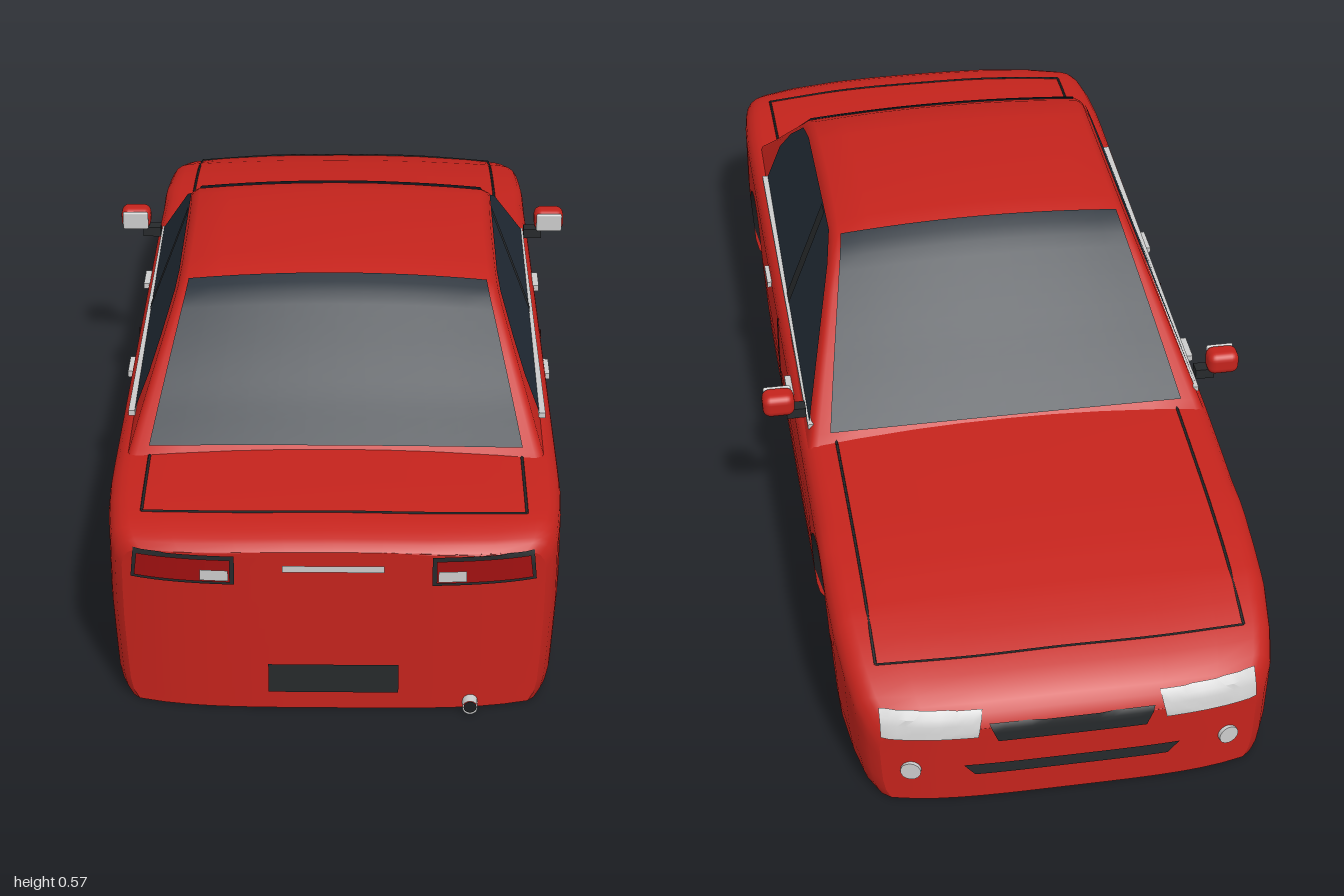
import * as THREE from 'three';
import { toCreasedNormals } from 'three/addons/utils/BufferGeometryUtils.js';
import { RoundedBoxGeometry } from 'three/addons/geometries/RoundedBoxGeometry.js';

const mat = (color) => new THREE.MeshStandardMaterial({ color, side: THREE.DoubleSide });
const RED = mat(0xc4231c), GLASS = mat(0x222c36), BLACK = mat(0x1c1e20), LINE = mat(0x3a1414);
const CHROME = mat(0xcccccc), LAMP = mat(0xa01010), TRIM = mat(0x26292b);

// Piecewise-linear lookup in [key, value] pairs
function lookup(keys, t) {
  if (t <= keys[0][0]) return keys[0][1];
  for (let i = 1; i < keys.length; i++) {
    const [a, va] = keys[i - 1], [b, vb] = keys[i];
    if (t <= b) return va + ((vb - va) * (t - a)) / (b - a);
  }
  return keys[keys.length - 1][1];
}

// Surface from a rule fn(i, j) -> [x, y, z]
function grid(ni, nj, fn, crease = 0.6) {
  const pos = [], idx = [];
  for (let i = 0; i <= ni; i++) for (let j = 0; j <= nj; j++) pos.push(...fn(i, j));
  for (let i = 0; i < ni; i++) for (let j = 0; j < nj; j++) {
    const a = i * (nj + 1) + j, b = a + nj + 1;
    idx.push(a, a + 1, b, b, a + 1, b + 1);
  }
  const g = new THREE.BufferGeometry();
  g.setAttribute('position', new THREE.Float32BufferAttribute(pos, 3));
  g.setIndex(idx);
  return toCreasedNormals(g, crease);
}

// Side-view and plan outlines, keyed by z
const DECK = [[-1, .165], [-.99, .19], [-.96, .215], [-.9, .242], [-.8, .271], [-.7, .289], [-.6, .3], [-.45, .309],
  [-.33, .315], [.69, .345], [.85, .343], [.92, .339], [.95, .333], [.975, .322], [.985, .312]];
const WIDTH = [[-1, .335], [-.99, .352], [-.96, .367], [-.9, .378], [-.8, .387], [-.7, .39],
  [.75, .39], [.85, .386], [.92, .38], [.95, .376], [.975, .367], [.985, .355]];
const ROOF = [[-.35, .303], [-.33, .317], [-.2, .415], [-.1, .492], [-.04, .538], [0, .557], [.04, .563], [.12, .568],
  [.2, .57], [.34, .567], [.42, .56], [.46, .54], [.55, .463], [.62, .402], [.69, .345], [.71, .33]];
const R = .035;

// Ends of the body are rounded in plan
const bow = (z, x) => z - Math.sign(z) * Math.max(0, (Math.abs(z) - .77) / .22) * .05 * (x / .39) ** 4;
const sideX = (z, y) => lookup(WIDTH, z) * lookup([[.005, .935], [.02, .962], [.05, .98], [.18, 1], [.4, 1]], y);

// Half section of the lower body, sill to centre line
function halfSection(z, yb) {
  const T = lookup(DECK, z), w = lookup(WIDTH, z), pts = [];
  const s0 = Math.max(T - .01 - R, yb + .01), h = T - .01 - s0;
  for (const t of [0, .06, .15, .35, .6, .8, 1]) {
    const y = yb + t * (s0 - yb);
    pts.push([sideX(z, y), y]);
  }
  for (let k = 1; k <= 4; k++) {
    const a = (k * Math.PI) / 8;
    pts.push([sideX(z, s0) - R + R * Math.cos(a), s0 + h * Math.sin(a)]);
  }
  for (const f of [.8, .5, .25, 0]) pts.push([(w - R) * f, T - .01 * f * f]);
  return pts;
}
function deckY(z, x) {
  const T = lookup(DECK, z), e = lookup(WIDTH, z) - R, a = Math.abs(x);
  if (a <= e) return T - .01 * (a / e) ** 2;
  return T - .01 - R + R * Math.sqrt(Math.max(0, 1 - ((a - e) / R) ** 2));
}
const mirrorSection = (h) => [...h.map(([x, y]) => [-x, y]), ...h.slice(0, -1).reverse()];

// Cabin: leaning sides, crowned top
const cabinX = (y) => .365 - .085 * (y - .33) / .225;
const crown = (z) => .015 * (lookup(ROOF, z) - .29) / .28;
const cabinEdge = (z) => cabinX(lookup(ROOF, z) - crown(z));
const cabinY = (z, x) => lookup(ROOF, z) - crown(z) * (x / cabinEdge(z)) ** 2;

// Point on the front (s = -1) or rear (s = 1) face at a given x, y
function endZ(s, x, y) {
  let z = s > 0 ? .985 : -1;
  for (let i = 0; i < 60 && (deckY(z, x) < y || lookup(WIDTH, z) < Math.abs(x)); i++) z -= s * .003;
  return bow(z, x);
}

export function createModel() {
  const car = new THREE.Group();
  const add = (name, geo, m, p = [0, 0, 0]) => {
    const o = new THREE.Mesh(geo, m);
    o.name = name;
    o.position.set(...p);
    car.add(o);
    return o;
  };
  const box = (name, m, size, p) => add(name, new THREE.BoxGeometry(...size), m, p);

  // Stations [z, lower edge]: the lower edge rises over the wheel arches
  const st = [-1, -.99, -.975, -.96, -.93, -.9, -.85, -.8].map((z) => [z, .005]);
  const arch = (c) => {
    st.push([c - .17, .005]);
    for (let k = 0; k <= 16; k++) {
      const a = Math.PI * (1 - k / 16);
      st.push([c + .17 * Math.cos(a), .085 + .17 * Math.sin(a)]);
    }
    st.push([c + .17, .005]);
  };
  arch(-.6);
  for (const z of [-.33, -.1, .1, .3]) st.push([z, .005]);
  arch(.595);
  for (const z of [.8, .85, .89, .92, .95, .965, .975, .985]) st.push([z, .005]);

  const halves = st.map(([z, yb]) => halfSection(z, yb));
  const rings = halves.map(mirrorSection);
  add('body', grid(st.length - 1, rings[0].length - 1, (i, j) => {
    const [x, y] = rings[i][j];
    return [x, y, bow(st[i][0], x)];
  }), RED);
  for (const i of [0, st.length - 1]) {
    const h = halves[i];
    add(i ? 'rearPanel' : 'frontPanel', grid(h.length - 1, 16, (r, c) => {
      const x = h[r][0] * (i ? 1 : -1) * (c / 8 - 1);
      return [x, h[r][1], bow(st[i][0], x)];
    }), RED);
  }
  // Underbody with wheel wells
  add('underbody', grid(st.length - 1, 12, (i, j) => {
    const x = halves[i][0][0] * (j / 6 - 1);
    return [x, st[i][1], bow(st[i][0], x)];
  }), BLACK);

  // Cabin shell
  const cz = ROOF.map((k) => k[0]);
  const cabinRings = cz.map((z) => {
    const te = lookup(ROOF, z) - crown(z), e = cabinEdge(z);
    const h = [[cabinX(.28), .28], [cabinX(te - .014), te - .014], [e - .002, te - .005]];
    for (const f of [.96, .75, .5, .25, 0]) h.push([e * f, cabinY(z, e * f)]);
    return mirrorSection(h);
  });
  add('cabin', grid(cz.length - 1, cabinRings[0].length - 1, (i, j) => [...cabinRings[i][j], cz[i]], .8), RED);

  // Windscreen and rear window follow the cabin top
  const screen = (name, z0, z1) => add(name, grid(14, 12, (i, j) => {
    const z = z0 + ((z1 - z0) * i) / 14;
    const x = cabinEdge(z) * lookup([[.3, .9], [.56, .945]], lookup(ROOF, z)) * (j / 6 - 1);
    return [x, cabinY(z, x) + .005, z];
  }), GLASS);
  screen('windscreen', -.332, -.005);
  screen('rearWindow', .425, .688);

  // Shut line along a rule for its points
  const seam = (name, pts, m = TRIM) => add(name, new THREE.TubeGeometry(
    new THREE.CatmullRomCurve3(pts.map((p) => new THREE.Vector3(...p))), 24, .0025, 4), m);
  const onDeck = (z, x) => [x, deckY(z, x) + .0005, bow(z, x)];
  for (const [name, z0, z1] of [['bonnet', -.34, -.9], ['bootLid', .7, .9]]) {
    for (const s of [-1, 1]) {
      seam(name + 'SideSeam', [0, .25, .5, .75, 1].map((t) => onDeck(z0 + (z1 - z0) * t, s * .325)));
    }
    seam(name + 'EndSeam', [-1, -.5, 0, .5, 1].map((t) => onDeck(z1, t * .325)));
  }

  // Panel lying on the front or rear face; corners run left, right along bottom then top
  const decal = (name, s, m, [x0, x1, X0, X1], [y0, y1], lift = .005) => add(name, grid(4, 12, (i, j) => {
    const v = i / 4, u = j / 12;
    const x = (x0 + (X0 - x0) * v) * (1 - u) + (x1 + (X1 - x1) * v) * u, y = y0 + (y1 - y0) * v;
    return [x, y, endZ(s, x, y) + s * lift];
  }), m);
  decal('numberPlate', 1, TRIM, [-.11, .11, -.11, .11], [.04, .095]);
  decal('bootTrim', 1, CHROME, [-.085, .085, -.085, .085], [.276, .288]);
  decal('grille', -1, TRIM, [-.13, .13, -.145, .145], [.135, .172]);
  decal('lowerIntake', -1, TRIM, [-.17, .17, -.19, .19], [.062, .085]);

  const sideWindow = [[.55, .345], [.545, .42], [.5, .475], [.43, .53], [.37, .542], [.02, .542], [-.05, .51], [-.3, .327]];
  for (const s of [-1, 1]) {
    // Lamps
    const mx = (a) => a.map((x) => x * s);
    decal('tailLampFrame', 1, TRIM, mx([.165, .34, .165, .335]), [.25, .304], .004);
    decal('tailLamp', 1, LAMP, mx([.172, .334, .172, .329]), [.256, .298], .007);
    decal('reversingLamp', 1, CHROME, mx([.175, .222, .175, .222]), [.26, .28], .01);
    decal('headlamp', -1, CHROME, mx([.165, .33, .155, .33]), [.148, .195], .006);
    const fog = add('fogLamp', new THREE.CylinderGeometry(.018, .018, .012, 16), CHROME, [s * .28, .075, endZ(-1, s * .28, .075)]);
    fog.rotation.set(Math.PI / 2, 0, s * .25);

    // Side glass, centre pillar and waist strip
    const glass = new THREE.ShapeGeometry(new THREE.Shape(sideWindow.map((p) => new THREE.Vector2(...p))));
    const p = glass.attributes.position;
    for (let i = 0; i < p.count; i++) p.setXYZ(i, s * (cabinX(p.getY(i)) + .004), p.getY(i), p.getX(i));
    glass.computeVertexNormals();
    add('sideWindow', glass, GLASS);
    add('centrePillar', grid(1, 1, (i, j) => {
      const y = j ? .541 : .338;
      return [s * (cabinX(y) + .006), y, .1 + (i ? .018 : -.018)];
    }), TRIM);
    const strip = box('waistStrip', CHROME, [.012, .01, .86], [s * .368, .331, .122]);
    strip.rotation.x = -.024;

    // Doors
    seam('doorSeam', [.02, .1, .2, .29].map((y) => [s * (sideX(.1, y) - .0005), y, .1]), LINE);
    for (const z of [.26, -.13]) box('doorHandle', CHROME, [.012, .012, .062], [s * .392, .286, z]);

    // Mirrors
    box('mirrorArm', TRIM, [.036, .02, .025], [s * .392, .335, -.27]);
    add('mirrorShell', new RoundedBoxGeometry(.06, .045, .045, 3, .015), RED, [s * .425, .362, -.277]);
    add('mirrorGlass', new RoundedBoxGeometry(.052, .038, .008, 2, .004), CHROME, [s * .425, .362, -.254]);

    // Rear damper
    const damper = add('rearDamper', new THREE.CylinderGeometry(.025, .025, .13, 12), TRIM, [s * .25, .175, .5]);
    damper.rotation.x = -.3;
  }

  // Rear axle, tray and exhaust
  add('rearAxle', new THREE.CylinderGeometry(.035, .035, .56, 14), TRIM, [0, .088, .46]).rotation.z = Math.PI / 2;
  box('rearTray', BLACK, [.6, .006, .2], [0, .03, .52]);
  add('exhaustPipe', new THREE.CylinderGeometry(.013, .013, .08, 16, 1, true), CHROME, [.232, .017, .96]).rotation.x = Math.PI / 2;
  add('exhaustBore', new THREE.CircleGeometry(.011, 16), BLACK, [.232, .017, .998]);
  return car;
}
